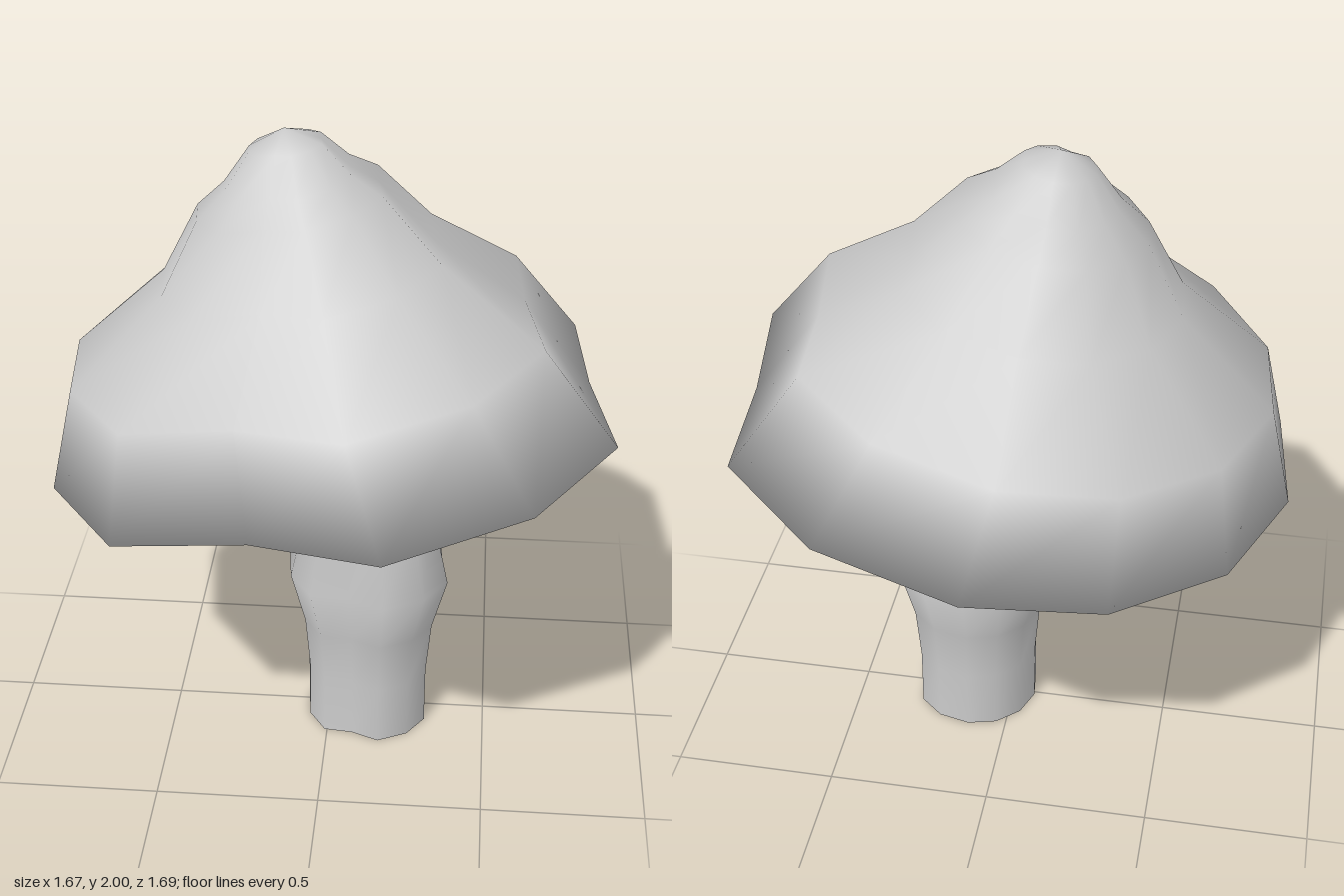
import * as THREE from 'three';
import { mergeVertices } from 'three/addons/utils/BufferGeometryUtils.js';

// Wavy 13-sided outline [x, z] with a notch at the front, shared by cap and stem
const OUTLINE = [
  [0, -0.85], [0.43, -0.75], [0.74, -0.48], [0.77, -0.09], [0.835, 0.31], [0.6, 0.65], [0.2, 0.84],
  [-0.17, 0.69], [-0.56, 0.65], [-0.79, 0.31], [-0.838, -0.09], [-0.69, -0.48], [-0.39, -0.75],
];

// Joins scaled, tilted copies of the outline; each ring is [centreX, centreY, centreZ, scale, tilt]
function loft(rings) {
  const n = OUTLINE.length;
  const positions = [];
  const index = [];
  for (const [cx, cy, cz, scale, tilt] of rings) {
    for (const [x, z] of OUTLINE) {
      positions.push(cx + x * scale, cy + tilt * x * scale + 0.012 * z * scale * Math.sign(tilt), cz + z * scale);
    }
  }
  for (let i = 0; i < rings.length - 1; i++) {
    for (let j = 0; j < n; j++) {
      const a = i * n + j;
      const b = i * n + (j + 1) % n;
      index.push(a, a + n, b, b, a + n, b + n);
    }
  }
  let geometry = new THREE.BufferGeometry();
  geometry.setAttribute('position', new THREE.Float32BufferAttribute(positions, 3));
  geometry.setIndex(index);
  geometry = mergeVertices(geometry, 1e-5);
  geometry.computeVertexNormals();
  return geometry;
}

export function createModel() {
  const group = new THREE.Group();
  const material = new THREE.MeshStandardMaterial({ color: 0xcccccc, side: THREE.DoubleSide });
  const add = (name, rings) => {
    const mesh = new THREE.Mesh(loft(rings), material);
    mesh.name = name;
    group.add(mesh);
  };

  // Cap: underside from the stem out to the rim, then up to the crooked tip
  add('cap', [
    [0, 1.08, 0.01, 0.26, 0.134],
    [0, 1.08, 0, 1, 0.134],
    [-0.075, 1.365, 0, 0.83, 0.14],
    [-0.085, 1.595, 0, 0.49, 0.16],
    [-0.115, 1.795, 0.005, 0.322, 0.17],
    [-0.12, 1.86, 0.01, 0.22, 0.17],
    [-0.125, 1.955, 0.01, 0.125, 0.14],
    [-0.13, 2, 0.01, 0, 0],
  ]);

  // Stem: swollen in the middle and bent towards the cap
  add('stem', [
    [0.12, 0, 0.01, 0.228, 0],
    [0.12, 0.2, 0.01, 0.228, 0],
    [0.12, 0.38, 0.01, 0.246, 0],
    [0.12, 0.56, 0.01, 0.3, 0],
    [0.12, 0.825, 0.01, 0.23, 0],
    [0, 1.08, 0.01, 0.26, 0.134],
  ]);

  // Flat foot closing the stem
  add('stemBase', [
    [0.12, 0, 0.01, 0, 0],
    [0.12, 0, 0.01, 0.228, 0],
  ]);

  return group;
}
